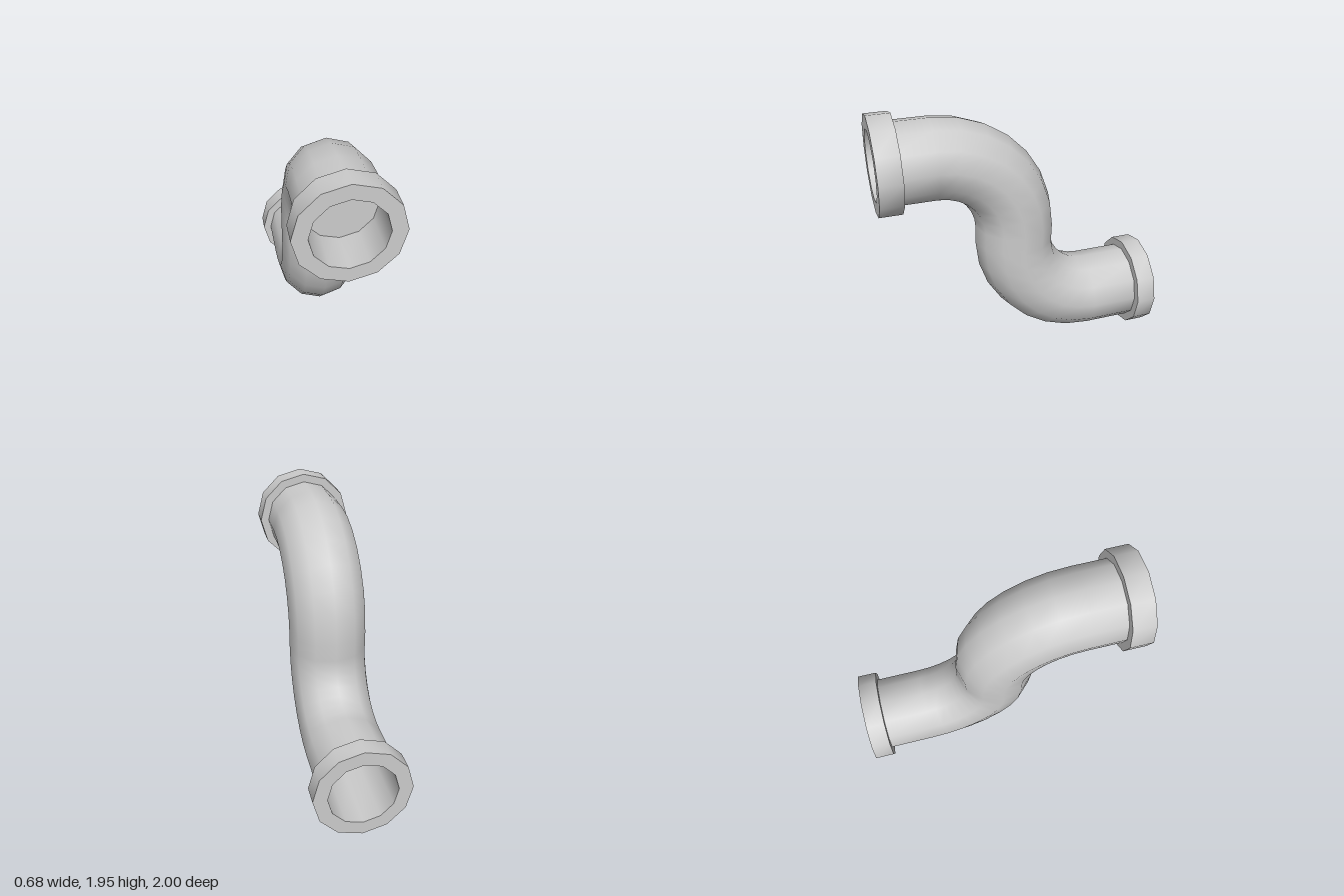
import * as THREE from 'three';
import { toCreasedNormals } from 'three/addons/utils/BufferGeometryUtils.js';

const SIDES = 12, BEND_STEPS = 7, BEND_RADIUS = 0.567;
const PIPE_R = 0.283, BORE_R = 0.242, COLLAR_R = 0.342;
const UPPER = { z: 0.6, y: 1.04 }, LOWER = { z: -0.53, y: 0.912 }; // bend centres
const TOP_Y = UPPER.y + BEND_RADIUS, BOTTOM_Y = LOWER.y - BEND_RADIUS;

// Centre line from the front opening to the back one: z, y and tilt of each section
function stations() {
  const list = [{ z: 1, y: TOP_Y, t: 0 }];
  for (let i = 0; i <= BEND_STEPS; i++) {
    const t = (i / BEND_STEPS) * Math.PI / 2;
    list.push({ z: UPPER.z - BEND_RADIUS * Math.sin(t), y: UPPER.y + BEND_RADIUS * Math.cos(t), t });
  }
  for (let i = BEND_STEPS; i >= 0; i--) {
    const t = (i / BEND_STEPS) * Math.PI / 2;
    list.push({ z: LOWER.z + BEND_RADIUS * Math.sin(t), y: LOWER.y - BEND_RADIUS * Math.cos(t), t });
  }
  list.push({ z: -1, y: BOTTOM_Y, t: 0 });
  return list;
}

// Smooth tube swept through the sections; inward = true faces its inside
function sweep(path, radius, inward) {
  const pos = [], index = [];
  path.forEach(({ z, y, t }, i) => {
    for (let j = 0; j < SIDES; j++) {
      const a = (j / SIDES) * Math.PI * 2;
      const n = radius * Math.cos(a);
      pos.push(radius * Math.sin(a), y + n * Math.cos(t), z - n * Math.sin(t));
      if (i === path.length - 1) continue;
      const k = (j + 1) % SIDES, p = i * SIDES, q = p + SIDES;
      if (inward) index.push(p + j, q + j, p + k, p + k, q + j, q + k);
      else index.push(p + j, p + k, q + j, p + k, q + k, q + j);
    }
  });
  const geo = new THREE.BufferGeometry();
  geo.setAttribute('position', new THREE.Float32BufferAttribute(pos, 3));
  geo.setIndex(index);
  geo.computeVertexNormals();
  return geo;
}

// End collar: two flat rings joined by a smooth rim
function collar(z0, z1, y) {
  const profile = [[BORE_R, z0], [COLLAR_R, z0], [COLLAR_R, z1], [BORE_R, z1]];
  const geo = new THREE.LatheGeometry(profile.map(([r, h]) => new THREE.Vector2(r, h)), SIDES);
  geo.rotateX(Math.PI / 2);
  geo.translate(0, y, 0);
  return toCreasedNormals(geo, 0.7);
}

export function createModel() {
  const group = new THREE.Group();
  const material = new THREE.MeshStandardMaterial({ color: 0xcccccc });
  const add = (name, geo) => {
    const mesh = new THREE.Mesh(geo, material);
    mesh.name = name;
    group.add(mesh);
  };

  // Pipe wall stops inside the collars, the bore runs through them
  const path = stations();
  const wall = path.map((s) => ({ ...s, z: THREE.MathUtils.clamp(s.z, -0.9, 0.9) }));
  add('pipe', sweep(wall, PIPE_R, false));
  add('bore', sweep(path, BORE_R, true));

  add('frontCollar', collar(0.84, 1, TOP_Y));
  add('backCollar', collar(-1, -0.86, BOTTOM_Y));

  // Flat stop inside the front opening
  add('frontPlug', new THREE.CircleGeometry(BORE_R, SIDES).translate(0, TOP_Y, 0.7));

  return group;
}
